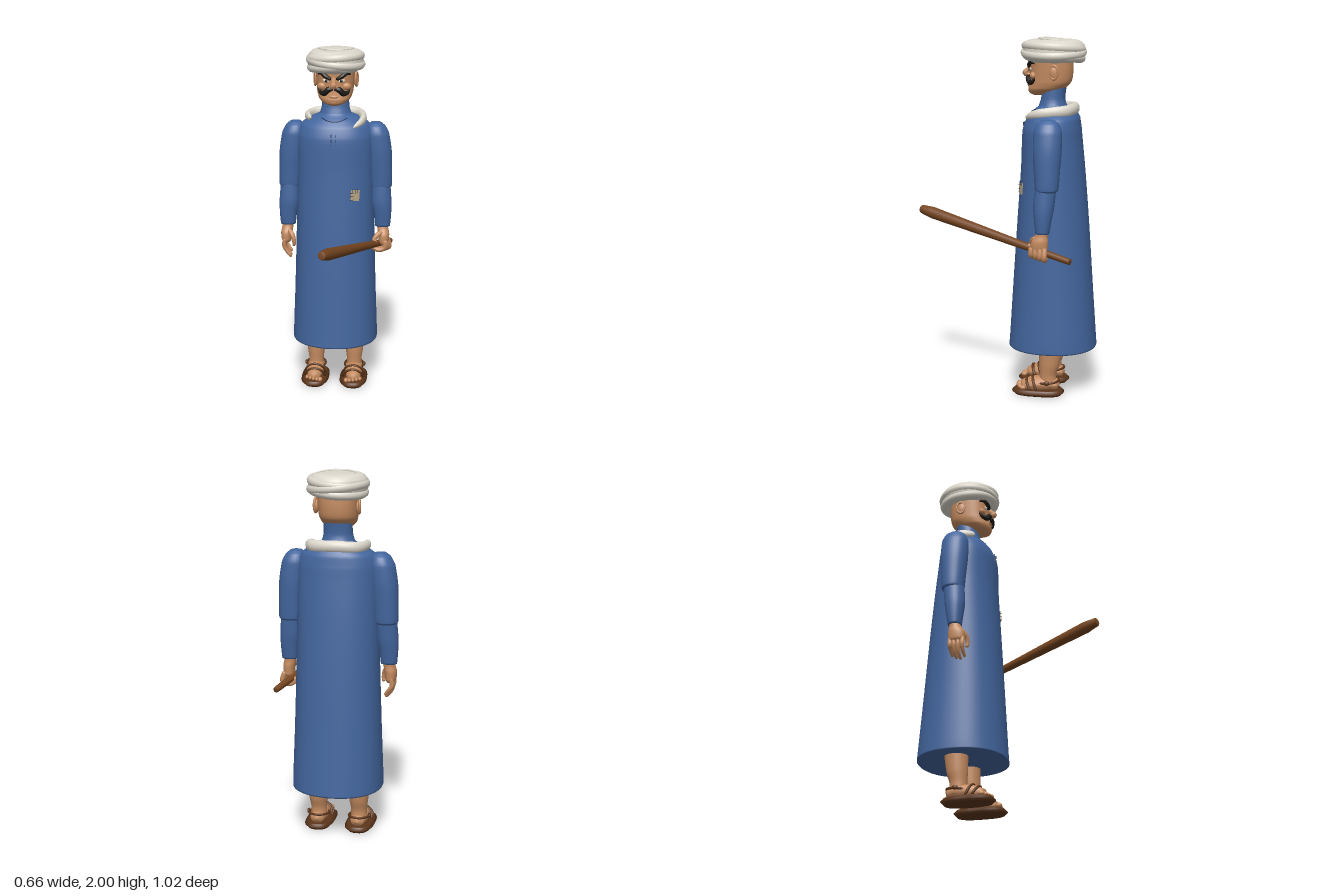
import * as THREE from 'three';

const mat = (name, color, side = THREE.FrontSide) => {
  const m = new THREE.MeshStandardMaterial({ color, side });
  m.name = name;
  return m;
};

const V = (p) => new THREE.Vector3(...p);

// Smooth closed body from stacked rings [y, cx, cz, rx, rz], bottom to top
function loft(rows, { steps = 6, seg = 40, power = 2.2 } = {}) {
  const mid = new THREE.CatmullRomCurve3(rows.map((r) => V([r[1], r[0], r[2]])));
  const rad = new THREE.CatmullRomCurve3(rows.map((r) => V([r[3], 0, r[4]])));
  const n = (rows.length - 1) * steps, pos = [], idx = [];
  const bend = (v) => Math.sign(v) * Math.abs(v) ** (2 / power);
  for (let i = 0; i <= n; i++) {
    const c = mid.getPoint(i / n), r = rad.getPoint(i / n);
    for (let j = 0; j < seg; j++) {
      const a = (j / seg) * Math.PI * 2;
      pos.push(c.x + r.x * bend(Math.cos(a)), c.y, c.z + r.z * bend(Math.sin(a)));
    }
  }
  const first = rows[0], last = rows[rows.length - 1], bot = (n + 1) * seg;
  pos.push(first[1], first[0], first[2], last[1], last[0], last[2]);
  for (let j = 0; j < seg; j++) {
    const k = (j + 1) % seg;
    for (let i = 0; i < n; i++) {
      const a = i * seg + j, b = i * seg + k, c = a + seg, d = b + seg;
      idx.push(a, c, b, b, c, d);
    }
    idx.push(bot, j, k, bot + 1, n * seg + k, n * seg + j);
  }
  const g = new THREE.BufferGeometry();
  g.setAttribute('position', new THREE.Float32BufferAttribute(pos, 3));
  g.setIndex(idx);
  g.computeVertexNormals();
  return g;
}

// Tube through points with varying radius, rounded ends and optional squash
function taper(points, radii, squash = [1, 1, 1], n = 24, seg = 10) {
  const curve = new THREE.CatmullRomCurve3(points.map(V));
  const g = new THREE.TubeGeometry(curve, n, 1, seg), p = g.attributes.position;
  for (let i = 0; i <= n; i++) {
    const t = i / n, c = curve.getPointAt(t), f = t * (radii.length - 1);
    const k = Math.min(Math.floor(f), radii.length - 2);
    const r = THREE.MathUtils.lerp(radii[k], radii[k + 1], f - k) * Math.sqrt(1 - (2 * t - 1) ** 20);
    for (let j = 0; j <= seg; j++) {
      const q = i * (seg + 1) + j;
      p.setXYZ(q, c.x + (p.getX(q) - c.x) * r * squash[0],
        c.y + (p.getY(q) - c.y) * r * squash[1], c.z + (p.getZ(q) - c.z) * r * squash[2]);
    }
  }
  g.computeVertexNormals();
  return g;
}

export function createModel() {
  const model = new THREE.Group();
  const robe = mat('robe blue', 0x43669e), skin = mat('skin', 0xc48b60);
  const cloth = mat('off-white cloth', 0xdcd7cb), wood = mat('stick wood', 0x74441f);
  const leather = mat('sandal brown', 0x5c351b), hair = mat('black hair', 0x1d1a16);
  const seam = mat('seam navy', 0x253a5e), tan = mat('patch tan', 0xb3a27d);

  const add = (name, geo, material, pos = [0, 0, 0], scale = [1, 1, 1], rot = [0, 0, 0]) => {
    const m = new THREE.Mesh(geo, material);
    m.name = name;
    m.position.set(...pos);
    m.scale.set(...scale);
    m.rotation.set(...rot);
    model.add(m);
    return m;
  };
  const ball = (name, material, pos, scale, rot) =>
    add(name, new THREE.SphereGeometry(1, 20, 14), material, pos, scale, rot);

  // Long robe with shoulders and high neck
  add('robe', loft([
    [0.27, 0, -0.262, 0.25, 0.248], [0.32, 0, -0.262, 0.249, 0.244], [0.6, 0, -0.26, 0.238, 0.225],
    [1.0, 0, -0.258, 0.226, 0.198], [1.3, 0, -0.255, 0.221, 0.175], [1.5, 0, -0.249, 0.218, 0.161],
    [1.565, 0, -0.255, 0.198, 0.145], [1.6, 0, -0.26, 0.15, 0.12], [1.63, 0, -0.252, 0.09, 0.078],
    [1.67, 0, -0.252, 0.078, 0.066], [1.76, 0, -0.265, 0.075, 0.063]], { seg: 56 }), robe);

  // Neckline seam and front placket stitches
  add('neckline', taper([[-0.075, 1.615, -0.17], [-0.035, 1.6, -0.142], [0, 1.597, -0.137],
    [0.035, 1.6, -0.142], [0.075, 1.615, -0.17]], [0.003, 0.003]), seam);
  for (const x of [-0.012, 0.012])
    for (let i = 0; i < 3; i++)
      add('placketStitch', new THREE.BoxGeometry(0.004, 0.018, 0.006), seam, [x, 1.525 - i * 0.028, -0.089]);

  // Patch sewn on the front
  const patch = new THREE.Group();
  patch.name = 'patch';
  patch.position.set(0.124, 1.185, -0.094);
  patch.rotation.set(-0.05, 0.43, 0);
  model.add(patch);
  const sew = (name, m, w, h, x, y, z, turn) => {
    const b = add(name, new THREE.BoxGeometry(w, h, 0.006), m, [x, y, z], [1, 1, 1], [0, 0, turn]);
    patch.add(b);
  };
  sew('patchCloth', tan, 0.052, 0.062, 0, 0, 0, -0.06);
  for (let i = -1; i <= 1; i++) {
    sew('patchStitch', seam, 0.003, 0.022, i * 0.015, 0.024, 0.002, 0.1);
    sew('patchStitch', seam, 0.02, 0.003, -0.02, i * 0.02 - 0.006, 0.002, 0.1);
  }

  // Scarf round the back of the neck
  add('scarf', taper([[0.11, 1.57, -0.115], [0.15, 1.593, -0.165], [0.158, 1.605, -0.25], [0.12, 1.612, -0.34],
    [0, 1.617, -0.372], [-0.12, 1.612, -0.34], [-0.158, 1.612, -0.25], [-0.135, 1.612, -0.17]],
  [0.012, 0.026, 0.03, 0.032, 0.032, 0.03, 0.026, 0.02], [0.7, 1, 0.8], 60, 14), cloth);

  // Head
  add('head', loft([
    [1.688, 0, -0.175, 0.03, 0.035], [1.7, 0, -0.185, 0.062, 0.064], [1.725, 0, -0.215, 0.09, 0.1],
    [1.76, 0, -0.237, 0.102, 0.114], [1.82, 0, -0.243, 0.107, 0.118], [1.88, 0, -0.242, 0.11, 0.118],
    [1.94, 0, -0.245, 0.1, 0.11]], { power: 2.3 }), skin);
  add('nose', taper([[0, 1.85, -0.13], [0, 1.825, -0.113], [0, 1.806, -0.098], [0, 1.797, -0.122]],
    [0.01, 0.014, 0.018, 0.012]), skin);
  ball('lowerLip', skin, [0, 1.742, -0.122], [0.028, 0.009, 0.012]);
  ball('chin', skin, [0, 1.712, -0.14], [0.04, 0.022, 0.024]);
  for (const s of [-1, 1]) {
    ball('nostril', skin, [s * 0.016, 1.799, -0.118], [0.011, 0.009, 0.014]);
    ball('cheek', skin, [s * 0.065, 1.797, -0.152], [0.03, 0.022, 0.02]);
    ball('eye', cloth, [s * 0.045, 1.83, -0.133], [0.019, 0.009, 0.008], [0, s * 0.3, s * 0.2]);
    ball('pupil', hair, [s * 0.042, 1.83, -0.127], [0.008, 0.008, 0.006]);
    add('eyebrow', taper([[s * 0.014, 1.838, -0.121], [s * 0.045, 1.856, -0.126], [s * 0.07, 1.871, -0.142],
      [s * 0.092, 1.862, -0.165]], [0.008, 0.013, 0.012, 0.004]), hair);
    add('moustache', taper([[0, 1.789, -0.12], [s * 0.028, 1.783, -0.12], [s * 0.055, 1.76, -0.132],
      [s * 0.075, 1.764, -0.148], [s * 0.088, 1.785, -0.163]], [0.009, 0.017, 0.017, 0.011, 0.004]), hair);
    ball('ear', skin, [s * 0.112, 1.815, -0.268], [0.012, 0.036, 0.024], [0.15, 0, 0]);
    add('earRim', new THREE.TorusGeometry(0.03, 0.007, 8, 24), skin, [s * 0.117, 1.818, -0.27],
      [0.75, 1.2, 1], [0, s * (Math.PI / 2 - 0.25), 0]);
  }

  // Turban: cap, tilted wraps and two crossed folds on top
  add('turban', loft([
    [1.868, 0, -0.252, 0.118, 0.128], [1.885, 0, -0.252, 0.148, 0.16], [1.92, 0, -0.253, 0.158, 0.172],
    [1.955, 0, -0.253, 0.156, 0.17], [1.98, 0, -0.252, 0.137, 0.15], [1.989, 0, -0.25, 0.115, 0.125],
    [1.992, 0, -0.25, 0.06, 0.06]], { power: 2, seg: 48 }), cloth);
  for (const [y, tx, tz, r] of [[1.898, 0.06, 0.08, 0.134], [1.92, 0.0, -0.1, 0.14], [1.946, 0.06, 0.06, 0.136]])
    add('turbanWrap', new THREE.TorusGeometry(r, 0.028, 12, 48).rotateX(Math.PI / 2), cloth,
      [0, y, -0.253], [1, 0.95, 1.08], [-tx, 0, tz]);
  for (const s of [-1, 1])
    add('turbanFold', taper([[s * 0.1, 1.99, -0.3], [s * 0.09, 1.991, -0.245], [s * 0.05, 1.993, -0.197],
      [0, 1.993, -0.174], [-s * 0.058, 1.991, -0.17]], [0.002, 0.006, 0.008, 0.007, 0.002]), cloth);

  for (const s of [-1, 1]) {
    // Sleeves
    add('upperSleeve', loft([
      [1.195, s * 0.262, -0.257, 0.056, 0.056], [1.205, s * 0.262, -0.257, 0.065, 0.063],
      [1.3, s * 0.258, -0.257, 0.069, 0.07], [1.42, s * 0.249, -0.257, 0.073, 0.077],
      [1.51, s * 0.238, -0.257, 0.069, 0.076], [1.555, s * 0.232, -0.257, 0.052, 0.06],
      [1.575, s * 0.23, -0.257, 0.03, 0.035]], { seg: 28 }), robe);
    add('lowerSleeve', loft([
      [0.968, s * 0.276, -0.237, 0.044, 0.037], [1.03, s * 0.275, -0.239, 0.05, 0.046],
      [1.12, s * 0.267, -0.243, 0.059, 0.057], [1.22, s * 0.262, -0.252, 0.056, 0.058]], { seg: 28 }), robe);
    // Palm
    add('hand', loft([
      [0.862, s * 0.283, -0.222, 0.02, 0.036], [0.88, s * 0.285, -0.222, 0.029, 0.046],
      [0.92, s * 0.284, -0.224, 0.033, 0.046], [0.955, s * 0.278, -0.232, 0.032, 0.034],
      [0.985, s * 0.276, -0.237, 0.032, 0.03]], { seg: 24 }), skin);
    // Legs and feet
    add('leg', loft([
      [0.05, s * 0.115, -0.255, 0.045, 0.05], [0.11, s * 0.115, -0.25, 0.044, 0.047],
      [0.18, s * 0.115, -0.258, 0.053, 0.058], [0.32, s * 0.115, -0.268, 0.062, 0.068]], { power: 2, seg: 28 }), skin);
    add('foot', taper([[s * 0.115, 0.058, -0.318], [s * 0.115, 0.066, -0.25], [s * 0.116, 0.06, -0.17],
      [s * 0.118, 0.046, -0.095]], [0.03, 0.044, 0.044, 0.028], [1.15, 0.95, 1], 24, 16), skin);
    for (let i = 0; i < 5; i++)
      ball('toe', skin, [s * (0.078 + i * 0.02), 0.043, -0.083 - i * i * 0.0018],
        [i ? 0.01 : 0.014, i ? 0.011 : 0.014, 0.018]);
    // Sandals
    add('sandalSole', loft([
      [0, s * 0.115, -0.195, 0.066, 0.132], [0.006, s * 0.115, -0.195, 0.07, 0.136],
      [0.028, s * 0.115, -0.195, 0.07, 0.136], [0.034, s * 0.115, -0.195, 0.066, 0.132]],
    { power: 2.7, steps: 2 }), leather);
    add('ankleStrap', new THREE.TorusGeometry(0.056, 0.007, 8, 32).rotateX(Math.PI / 2), leather,
      [s * 0.115, 0.078, -0.252], [1, 1, 1.08], [0.1, 0, 0]);
    for (const [z, h] of [[-0.13, 0.092], [-0.165, 0.105]])
      add('instepStrap', taper([[s * 0.05, 0.03, z - 0.03], [s * 0.07, h - 0.022, z - 0.008], [s * 0.115, h, z],
        [s * 0.16, h - 0.022, z - 0.008], [s * 0.18, 0.03, z - 0.03]], [0.008, 0.008], [1, 0.8, 1]), leather);
    ball('buckle', leather, [s * 0.175, 0.08, -0.25], [0.009, 0.013, 0.016]);
  }

  // Relaxed right hand
  for (let i = 0; i < 4; i++) {
    const z = -0.187 - i * 0.023, d = [0.012, 0, 0.006, 0.022][i];
    add('finger', taper([[-0.29, 0.89, z], [-0.296, 0.845, z], [-0.284, 0.805 + d, z],
      [-0.255, 0.768 + d, z + 0.006]], [0.013, 0.013, 0.011, 0.008]), skin);
  }
  add('thumb', taper([[-0.268, 0.94, -0.2], [-0.244, 0.905, -0.178], [-0.236, 0.87, -0.174],
    [-0.238, 0.845, -0.18]], [0.014, 0.015, 0.012, 0.009]), skin);

  // Left hand closed round the stick
  for (let i = 0; i < 4; i++) {
    const z = -0.178 - i * 0.025, x = i * 0.008, y = -i * 0.005;
    add('grippingFinger', taper([[0.295 + x * 0.3, 0.895, z], [0.292 + x, 0.85 + y, z], [0.258 + x, 0.836 + y, z],
      [0.225 + x, 0.852 + y, z], [0.222 + x, 0.882 + y, z]], [0.014, 0.015, 0.014, 0.013, 0.01]), skin);
  }
  add('grippingThumb', taper([[0.275, 0.94, -0.2], [0.245, 0.92, -0.178], [0.232, 0.897, -0.168],
    [0.245, 0.88, -0.155]], [0.014, 0.015, 0.013, 0.01]), skin);

  // Tapered stick
  const tip = V([-0.01, 1.022, 0.505]), grip = V([0.317, 0.825, -0.395]), axis = tip.clone().sub(grip);
  const len = axis.length();
  const profile = [[0, 0], [0.016, 0], [0.017, 0.01], [0.021, 0.3], [0.027, 0.6], [0.033, 0.92],
    [0.024, 0.995], [0.02, 1], [0, 1]].map(([r, t]) => new THREE.Vector2(r, t * len));
  const stick = add('stick', new THREE.LatheGeometry(profile, 20), wood, grip.toArray());
  stick.quaternion.setFromUnitVectors(new THREE.Vector3(0, 1, 0), axis.normalize());

  return model;
}
